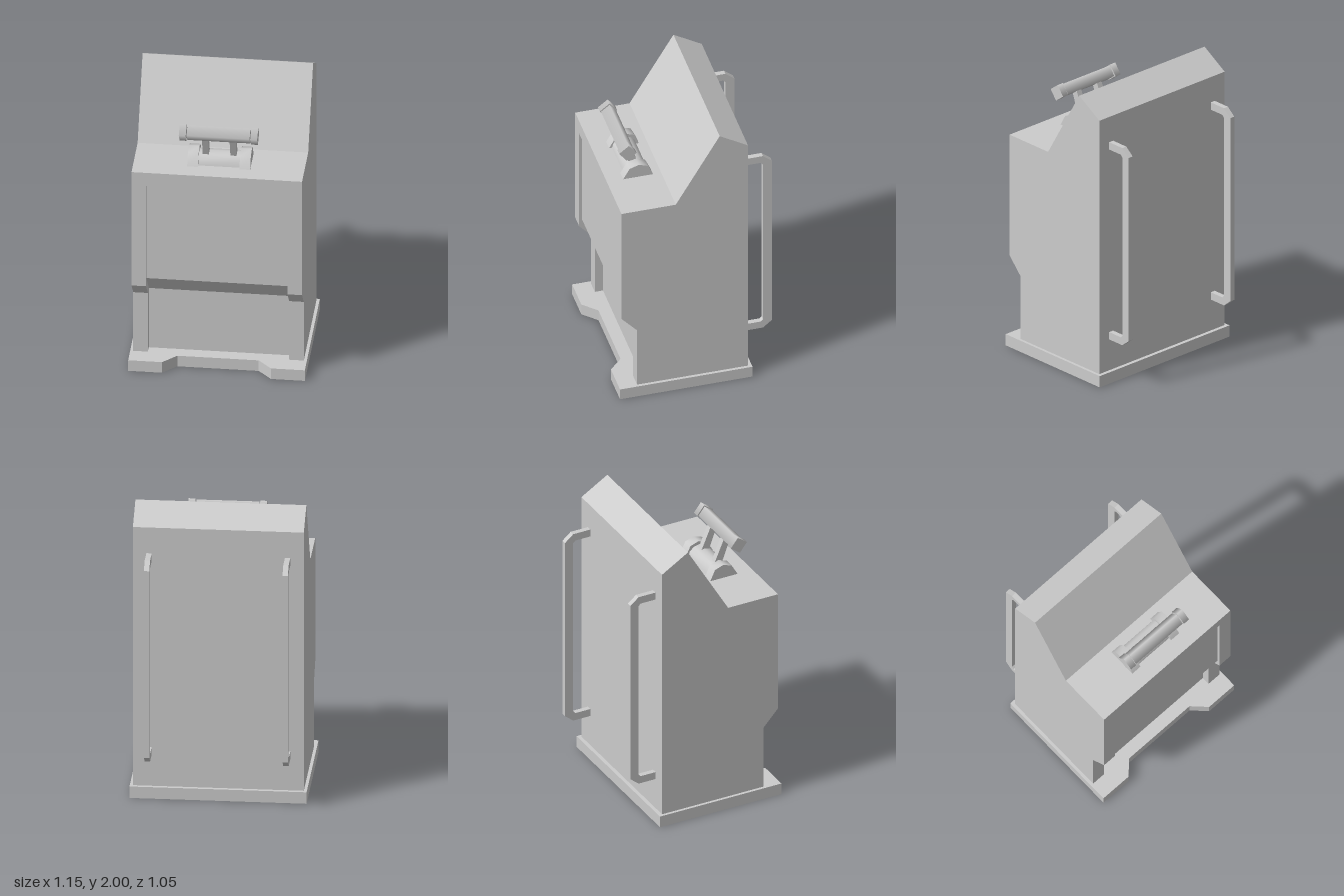
import * as THREE from 'three';
import { toCreasedNormals } from 'three/addons/utils/BufferGeometryUtils.js';

const solid = new THREE.MeshStandardMaterial({ color: 0xcccccc });
const sheet = new THREE.MeshStandardMaterial({ color: 0xcccccc, side: THREE.DoubleSide });

const shapeOf = pts => new THREE.Shape(pts.map(p => new THREE.Vector2(...p)));

function add(parent, name, geometry, material = solid) {
  const mesh = new THREE.Mesh(geometry, material);
  mesh.name = name;
  parent.add(mesh);
  return mesh;
}

// Solid prism of a [z, y] profile between x0 and x1
function prism(pts, x0, x1) {
  const geo = new THREE.ExtrudeGeometry(shapeOf(pts), { depth: x1 - x0, bevelEnabled: false });
  return geo.rotateY(-Math.PI / 2).translate(x1, 0, 0);
}

// Flat sheet of a [z, y] profile, facing -x or +x
function sideSheet(pts, x, facing) {
  const geo = new THREE.ShapeGeometry(shapeOf(pts));
  if (facing < 0) return geo.rotateY(-Math.PI / 2).translate(x, 0, 0);
  const mirrored = new THREE.ShapeGeometry(shapeOf(pts.map(([z, y]) => [-z, y])));
  return mirrored.rotateY(Math.PI / 2).translate(x, 0, 0);
}

// Open folded sheet following a [z, y] path from x0 to x1
function foldedSheet(path, x0, x1) {
  const pos = [];
  for (let i = 0; i < path.length - 1; i++) {
    const [z0, y0] = path[i], [z1, y1] = path[i + 1];
    const a = [x0, y0, z0], b = [x1, y0, z0], c = [x1, y1, z1], d = [x0, y1, z1];
    pos.push(...a, ...d, ...c, ...a, ...c, ...b);
  }
  const geo = new THREE.BufferGeometry();
  geo.setAttribute('position', new THREE.Float32BufferAttribute(pos, 3));
  geo.computeVertexNormals();
  return geo;
}

// Square bar along x with smooth normals
function squareBar(radius, length, x, y, z) {
  return new THREE.CylinderGeometry(radius, radius, length, 4)
    .rotateZ(Math.PI / 2).rotateX(-0.13).translate(x, y, z);
}

export function createModel() {
  const model = new THREE.Group();
  model.name = 'cabinet';
  const W = 0.555, P = 0.46;

  // Hollow cabinet shell, open underneath
  const shell = new THREE.Group();
  shell.name = 'cabinetShell';
  model.add(shell);
  const upper = [[-0.34, 0], [-0.34, 1.885], [-0.15, 2], [0.145, 1.5], [0.51, 1.5], [0.51, 1.4]];
  const frame = [[0.51, 1.4], [0.51, 0.64], [0.405, 0.525], [0.405, 0]];
  const panel = [[0.51, 1.4], [0.49, 1.4], [0.49, 0.69], [0.35, 0.53], [0.35, 0]];
  add(shell, 'backAndTop', foldedSheet(upper, -W, W), sheet);
  add(shell, 'recessedFrontPanel', foldedSheet(panel, -P, P), sheet);
  const outline = [...upper, ...frame.slice(1)];
  const reveal = [...frame, ...panel.slice(1).reverse()];
  for (const s of [-1, 1]) {
    add(shell, 'sideWall', sideSheet(outline, s * W, s), sheet);
    add(shell, 'frontFrame', foldedSheet(frame, s < 0 ? -W : P, s < 0 ? -P : W), sheet);
    add(shell, 'frameReveal', sideSheet(reveal, s * P, -s), sheet);
  }

  // Plinth ring with a bevelled notch at the front, [x, -z]
  const plinth = shapeOf([[-0.575, 0.365], [-0.575, -0.525], [-0.355, -0.525], [-0.265, -0.435],
    [0.265, -0.435], [0.355, -0.525], [0.575, -0.525], [0.575, 0.365]]);
  plinth.holes.push(new THREE.Path([[-W, 0.34], [W, 0.34], [W, -0.405], [P, -0.405], [P, -0.35],
    [-P, -0.35], [-P, -0.405], [-W, -0.405]].map(p => new THREE.Vector2(...p))));
  add(model, 'plinth', new THREE.ExtrudeGeometry(plinth, { depth: 0.08, bevelEnabled: false })
    .rotateX(-Math.PI / 2));

  // Long grab handles on the back
  const handle = [[-0.33, 1.705], [-0.465, 1.705], [-0.525, 1.655], [-0.525, 0.35], [-0.465, 0.3], [-0.33, 0.3],
    [-0.33, 0.352], [-0.45, 0.352], [-0.465, 0.368], [-0.465, 1.637], [-0.45, 1.653], [-0.33, 1.653]];
  for (const x of [-0.45, 0.45]) add(model, 'backHandle', prism(handle, x - 0.0175, x + 0.0175));

  // Lever assembly on the shelf
  const lever = new THREE.Group();
  lever.name = 'lever';
  model.add(lever);
  const bracket = [[0.4, 1.5], [0.357, 1.575], [0.295, 1.596], [0.235, 1.575], [0.2, 1.5]];
  const drum = [0, 1, 2, 3, 4, 5, 6].map(i => {
    const a = i * Math.PI / 6;
    return [0.3 + 0.08 * Math.cos(a), 1.5 + 0.072 * Math.sin(a)];
  });
  const arm = [[0.332, 1.545], [0.392, 1.71], [0.35, 1.725], [0.28, 1.56]];
  add(lever, 'pivotDrum', toCreasedNormals(prism(drum, -0.135, 0.135), 1));
  add(lever, 'grip', squareBar(0.052, 0.41, 0, 1.746, 0.383));
  for (const s of [-1, 1]) {
    add(lever, 'pivotBracket', toCreasedNormals(prism(bracket, s * 0.17 - 0.035, s * 0.17 + 0.035), 1));
    add(lever, 'leverArm', prism(arm, s * 0.09 - 0.02, s * 0.09 + 0.02));
    add(lever, 'gripEnd', squareBar(0.059, 0.045, s * 0.2325, 1.746, 0.383));
  }
  return model;
}
